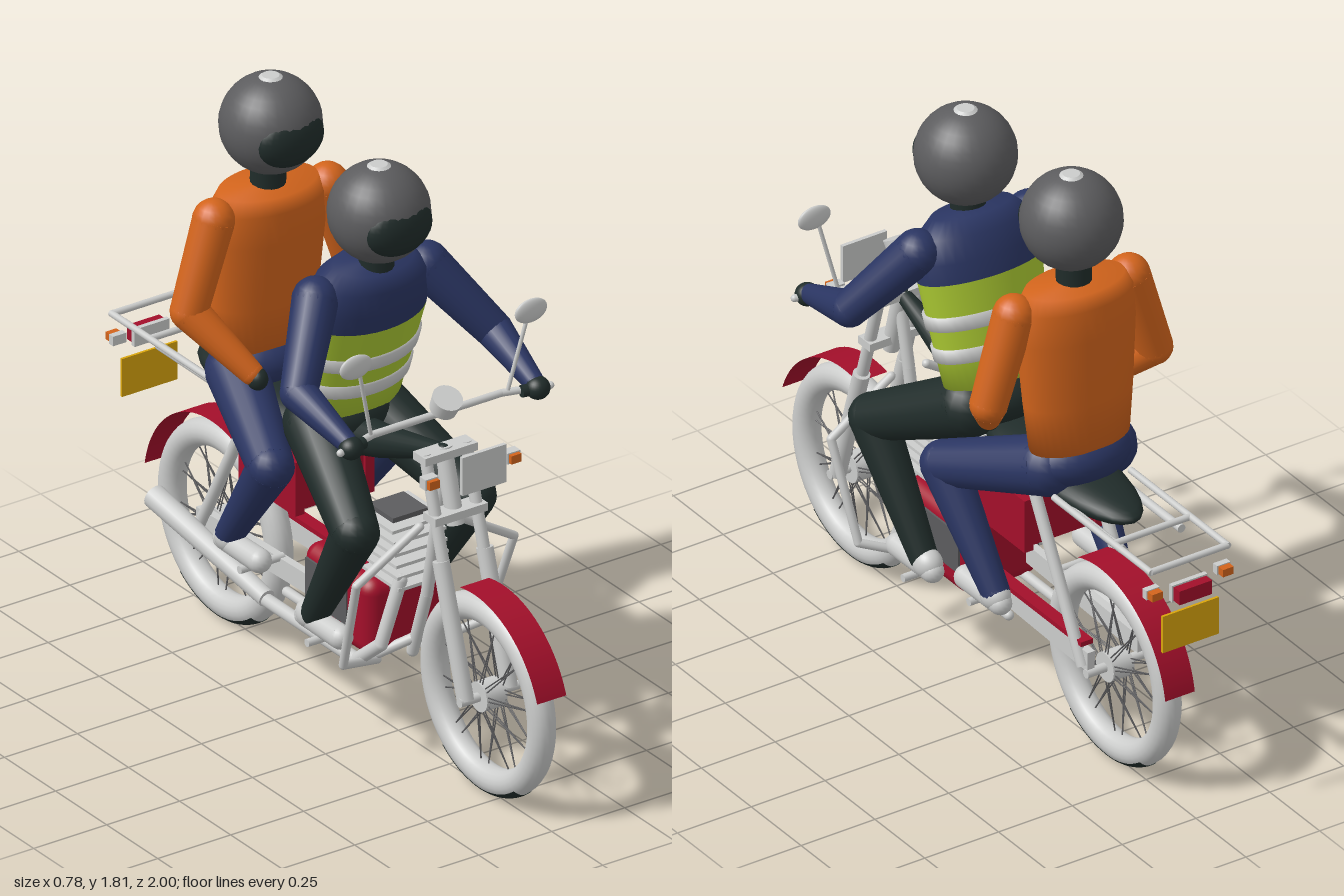
import * as THREE from 'three';
import { mergeGeometries } from 'three/addons/utils/BufferGeometryUtils.js';
import { RoundedBoxGeometry } from 'three/addons/geometries/RoundedBoxGeometry.js';

const colour = (name, hex, side = THREE.FrontSide) => {
  const m = new THREE.MeshStandardMaterial({ color: hex, side });
  m.name = name;
  return m;
};
const V = (p) => new THREE.Vector3(...p);
const rad = THREE.MathUtils.degToRad;

export function createModel() {
  const silver = colour('silver', 0xcbcccb);
  const dark = colour('charcoal', 0x202c2a, THREE.DoubleSide);
  const grey = colour('helmet grey', 0x5c5c5e);
  const navy = colour('navy', 0x2a3562);
  const orange = colour('orange', 0xd2641c);
  const lime = colour('lime', 0xaac832);
  const red = colour('red', 0xa30f2a, THREE.DoubleSide);
  const yellow = colour('yellow', 0xd9a50c);

  const root = new THREE.Group();
  root.name = 'motorcycleWithRiders';
  const group = (name) => {
    const g = new THREE.Group();
    g.name = name;
    root.add(g);
    return g;
  };
  const add = (g, name, geo, mat, p = [0, 0, 0]) => {
    const m = new THREE.Mesh(geo, mat);
    m.name = name;
    m.position.set(...p);
    g.add(m);
    return m;
  };
  const box = (g, name, mat, size, p) => add(g, name, new THREE.BoxGeometry(...size), mat, p);
  const ball = (g, name, mat, r, p) =>
    add(g, name, new THREE.SphereGeometry(1, 28, 18).scale(...r), mat, p);

  // Tapered rod between two points
  const rodGeo = (a, b, r0, r1 = r0, sides = 16) => {
    const A = V(a), B = V(b), d = B.clone().sub(A);
    const geo = new THREE.CylinderGeometry(r1, r0, d.length(), sides);
    geo.applyQuaternion(new THREE.Quaternion().setFromUnitVectors(V([0, 1, 0]), d.normalize()));
    const mid = A.add(B).multiplyScalar(0.5);
    return geo.translate(mid.x, mid.y, mid.z);
  };
  const rod = (g, name, mat, a, b, r0, r1) => add(g, name, rodGeo(a, b, r0, r1), mat);
  // Jointed limb: rods with round joints, one radius per point
  const limb = (g, name, mat, pts, radii) => {
    const parts = pts.map((p, i) => new THREE.SphereGeometry(radii[i], 18, 12).translate(...p));
    for (let i = 1; i < pts.length; i++) parts.push(rodGeo(pts[i - 1], pts[i], radii[i - 1], radii[i], 18));
    return add(g, name, mergeGeometries(parts), mat);
  };
  const pipe = (g, name, mat, pts, r) => limb(g, name, mat, pts, pts.map(() => r));
  const both = (fn) => [-1, 1].forEach(fn);

  // Wheels
  const wheel = (name, z) => {
    const g = group(name);
    g.position.set(0, 0.31, z);
    add(g, 'tyre', new THREE.TorusGeometry(0.261, 0.041, 18, 56).rotateY(Math.PI / 2), silver);
    const arc = [];
    for (let i = 0; i <= 8; i++) {
      const a = -1 + i / 4;
      arc.push(new THREE.Vector2(0.261 + 0.0425 * Math.cos(a), 0.0425 * Math.sin(a)));
    }
    add(g, 'treadPatch', new THREE.LatheGeometry(arc, 16, rad(232), rad(76)).rotateZ(Math.PI / 2), dark);
    const hub = new THREE.CylinderGeometry(0.045, 0.045, 0.07, 20).rotateZ(Math.PI / 2);
    add(g, 'hub', hub, silver);
    rod(g, 'axle', silver, [-0.1, 0, 0], [0.1, 0, 0], 0.014);
    const spokes = [];
    for (let i = 0; i < 40; i++) {
      const a = (i / 40) * Math.PI * 2, b = a + (i % 4 < 2 ? 0.16 : -0.16), s = i % 2 ? 0.03 : -0.03;
      spokes.push(rodGeo([s, Math.sin(a) * 0.04, Math.cos(a) * 0.04],
        [0, Math.sin(b) * 0.225, Math.cos(b) * 0.225], 0.0022, 0.0022, 5));
    }
    add(g, 'spokes', mergeGeometries(spokes), grey);
    return g;
  };
  const fender = (g, from, to) => add(g, 'fender',
    new THREE.CylinderGeometry(0.33, 0.33, 0.1, 28, 1, true, rad(from), rad(to - from)).rotateZ(Math.PI / 2), red);
  fender(wheel('frontWheel', 0.69), 20, 102);
  fender(wheel('rearWheel', -0.595), 70, 170);

  // Fork, handlebar, lamp and mirrors
  const steer = group('steering');
  both((s) => {
    rod(steer, 'forkUpper', silver, [s * 0.07, 1.0, 0.48], [s * 0.07, 0.66, 0.58], 0.018);
    rod(steer, 'forkLower', silver, [s * 0.075, 0.7, 0.565], [s * 0.075, 0.31, 0.685], 0.025);
    rod(steer, 'mirrorStem', silver, [s * 0.235, 1.1, 0.45], [s * 0.29, 1.33, 0.47], 0.006);
    ball(steer, 'mirror', silver, [0.055, 0.037, 0.013], [s * 0.3, 1.34, 0.47]);
    rod(steer, 'grip', dark, [s * 0.27, 1.09, 0.465], [s * 0.34, 1.09, 0.475], 0.018);
    box(steer, 'indicatorHousing', silver, [0.045, 0.034, 0.03], [s * 0.14, 0.985, 0.6]);
    box(steer, 'indicatorLens', orange, [0.034, 0.026, 0.03], [s * 0.14, 0.985, 0.613]);
  });
  pipe(steer, 'handlebar', silver, [[-0.36, 1.09, 0.48], [-0.22, 1.09, 0.44], [0.22, 1.09, 0.44], [0.36, 1.09, 0.48]], 0.011);
  box(steer, 'forkClamp', silver, [0.18, 0.025, 0.06], [0, 0.99, 0.48]);
  box(steer, 'lowerClamp', silver, [0.18, 0.025, 0.06], [0, 0.82, 0.53]);
  box(steer, 'headlampPlate', silver, [0.15, 0.12, 0.012], [0, 1.01, 0.665]);
  const gauge = add(steer, 'gauge', new THREE.CylinderGeometry(0.045, 0.04, 0.05, 24), silver, [0, 1.14, 0.48]);
  gauge.rotation.x = 0.5;

  // Frame, engine and bodywork
  const frame = group('frame');
  rod(frame, 'headTube', silver, [0, 1.0, 0.47], [0, 0.78, 0.53], 0.026);
  limb(frame, 'topTube', dark, [[0, 0.985, 0.47], [0, 0.89, 0.17], [0, 0.84, -0.05]], [0.022, 0.05, 0.07]);
  pipe(frame, 'downTube', silver, [[0, 0.94, 0.48], [0, 0.76, 0.44], [0, 0.5, 0.39], [0, 0.29, 0.32]], 0.018);
  ball(frame, 'seat', dark, [0.12, 0.055, 0.36], [0, 0.83, -0.335]);
  both((s) => {
    pipe(frame, 'bottomRail', silver, [[0, 0.34, 0.335], [s * 0.08, 0.285, 0.27], [s * 0.08, 0.285, -0.18]], 0.015);
    pipe(frame, 'crashGuard', silver,
      [[s * 0.06, 0.75, 0.44], [s * 0.27, 0.62, 0.43], [s * 0.245, 0.32, 0.33], [s * 0.08, 0.26, 0.26]], 0.013);
    const arm = box(frame, 'swingArm', silver, [0.025, 0.062, 0.6], [s * 0.085, 0.358, -0.3]);
    arm.rotation.x = -0.03;
    rod(frame, 'shock', silver, [s * 0.1, 0.78, -0.34], [s * 0.1, 0.33, -0.58], 0.018);
    rod(frame, 'footPeg', silver, [s * 0.08, 0.3, 0.13], [s * 0.23, 0.3, 0.13], 0.012);
    rod(frame, 'passengerPeg', silver, [s * 0.08, 0.39, -0.2], [s * 0.23, 0.39, -0.2], 0.012);
    box(frame, 'sidePanel', red, [0.03, 0.17, 0.28], [s * 0.12, 0.675, -0.2]);
    box(frame, 'enginePanel', grey, [0.008, 0.13, 0.2], [s * 0.134, 0.42, 0.09]);
  });
  box(frame, 'chainGuard', red, [0.04, 0.015, 0.58], [0.085, 0.4, -0.29]);
  box(frame, 'toolBox', red, [0.22, 0.15, 0.26], [0, 0.675, -0.2]);
  add(frame, 'engine', new RoundedBoxGeometry(0.265, 0.245, 0.335, 4, 0.045), red, [0, 0.4, 0.127]);
  box(frame, 'sump', grey, [0.18, 0.012, 0.24], [0, 0.276, 0.127]);
  box(frame, 'cylinderBlock', grey, [0.12, 0.24, 0.12], [0, 0.6, 0.25]);
  for (let i = 0; i < 6; i++) {
    box(frame, 'coolingFin', silver, [0.18, 0.01, 0.18], [0, 0.53 + i * 0.034, 0.29 - i * 0.006]);
  }

  // Exhaust
  const exhaust = group('exhaust');
  pipe(exhaust, 'headerPipe', silver,
    [[-0.07, 0.55, 0.36], [-0.13, 0.36, 0.35], [-0.15, 0.28, 0.26], [-0.15, 0.28, -0.2]], 0.02);
  rod(exhaust, 'silencer', silver, [-0.15, 0.285, -0.18], [-0.178, 0.4, -0.69], 0.027, 0.036);

  // Rear rack, lamps and plate
  const rear = group('rearRack');
  both((s) => {
    rod(rear, 'rackRail', silver, [s * 0.13, 0.845, -0.48], [s * 0.13, 0.845, -0.97], 0.01);
    rod(rear, 'rackStay', silver, [s * 0.1, 0.815, -0.45], [s * 0.1, 0.815, -0.78], 0.013);
    box(rear, 'indicatorHousing', silver, [0.045, 0.03, 0.02], [s * 0.12, 0.77, -0.952]);
    box(rear, 'indicatorLens', orange, [0.036, 0.024, 0.03], [s * 0.12, 0.77, -0.97]);
  });
  [-0.78, -0.965].forEach((z) => rod(rear, 'rackBar', silver, [-0.13, 0.845, z], [0.13, 0.845, z], 0.01));
  box(rear, 'tailLamp', red, [0.11, 0.045, 0.035], [0, 0.75, -0.982]);
  box(rear, 'tailLampHousing', silver, [0.12, 0.055, 0.015], [0, 0.75, -0.962]);
  box(rear, 'numberPlate', yellow, [0.19, 0.12, 0.008], [0, 0.63, -0.97]);

  // Torso section: lathe profile of [radius, height] pairs, flattened front to back
  const section = (g, name, mat, profile, depth) => {
    const pts = profile.map(([r, y]) => new THREE.Vector2(r, y));
    return add(g, name, new THREE.LatheGeometry(pts, 36).scale(1, 1, depth), mat);
  };
  const helmet = (g, y, z) => {
    ball(g, 'helmet', grey, [0.148, 0.148, 0.148], [0, y, z]);
    ball(g, 'visor', dark, [0.11, 0.086, 0.057], [0, y - 0.01, z + 0.095]);
    add(g, 'helmetVent', new THREE.CylinderGeometry(0.025, 0.042, 0.012, 20), silver, [0, y + 0.144, z]);
    rod(g, 'neck', dark, [0, y - 0.24, z - 0.015], [0, y - 0.1, z - 0.01], 0.052);
  };
  const shoe = (g, x, y, z) => {
    limb(g, 'shoe', silver, [[x, y, z - 0.085], [x, y, z + 0.085]], [0.034, 0.036]);
    ball(g, 'shoeAnkle', silver, [0.042, 0.045, 0.05], [x, y + 0.015, z - 0.06]);
  };

  // Rider
  const rider = group('rider');
  const torso = new THREE.Group();
  torso.name = 'riderTorso';
  torso.position.set(0, 0.95, 0);
  torso.rotation.x = 0.25;
  rider.add(torso);
  section(torso, 'vest', lime, [[0, 0], [0.165, 0], [0.18, 0.14], [0.2, 0.34]], 0.57);
  section(torso, 'jacket', navy, [[0.2, 0.34], [0.2, 0.4], [0.18, 0.47], [0.13, 0.515], [0, 0.52]], 0.57);
  [[0.1, 0.178], [0.2, 0.189]].forEach(([y, r]) =>
    section(torso, 'reflectiveBand', silver,
      [[r - 0.02, y], [r + 0.006, y], [r + 0.01, y + 0.042], [r - 0.02, y + 0.042]], 0.59));
  helmet(rider, 1.61, 0.155);
  ball(rider, 'hips', dark, [0.165, 0.09, 0.12], [0, 0.92, -0.01]);
  both((s) => {
    limb(rider, 'arm', navy, [[s * 0.19, 1.37, 0.115], [s * 0.335, 1.17, 0.24], [s * 0.32, 1.1, 0.46]], [0.068, 0.054, 0.03]);
    ball(rider, 'glove', dark, [0.036, 0.034, 0.036], [s * 0.32, 1.092, 0.475]);
    limb(rider, 'leg', dark, [[s * 0.1, 0.9, -0.01], [s * 0.2, 0.725, 0.325], [s * 0.18, 0.37, 0.1]], [0.095, 0.07, 0.042]);
    shoe(rider, s * 0.18, 0.345, 0.14);
  });

  // Passenger
  const passenger = group('passenger');
  const jacket = section(passenger, 'jacket', orange,
    [[0, 0], [0.16, 0], [0.175, 0.15], [0.19, 0.36], [0.185, 0.46], [0.16, 0.505], [0, 0.515]], 0.58);
  jacket.position.set(0, 0.965, -0.415);
  jacket.rotation.x = 0.05;
  helmet(passenger, 1.665, -0.375);
  ball(passenger, 'hips', navy, [0.165, 0.09, 0.12], [0, 0.92, -0.41]);
  both((s) => {
    limb(passenger, 'arm', orange, [[s * 0.195, 1.415, -0.375], [s * 0.28, 1.15, -0.375], [s * 0.175, 0.99, -0.22]], [0.062, 0.055, 0.035]);
    ball(passenger, 'glove', dark, [0.03, 0.034, 0.034], [s * 0.165, 0.975, -0.205]);
    limb(passenger, 'leg', navy, [[s * 0.1, 0.9, -0.4], [s * 0.22, 0.775, -0.06], [s * 0.2, 0.46, -0.29]], [0.09, 0.068, 0.042]);
    shoe(passenger, s * 0.2, 0.435, -0.23);
  });

  return root;
}
